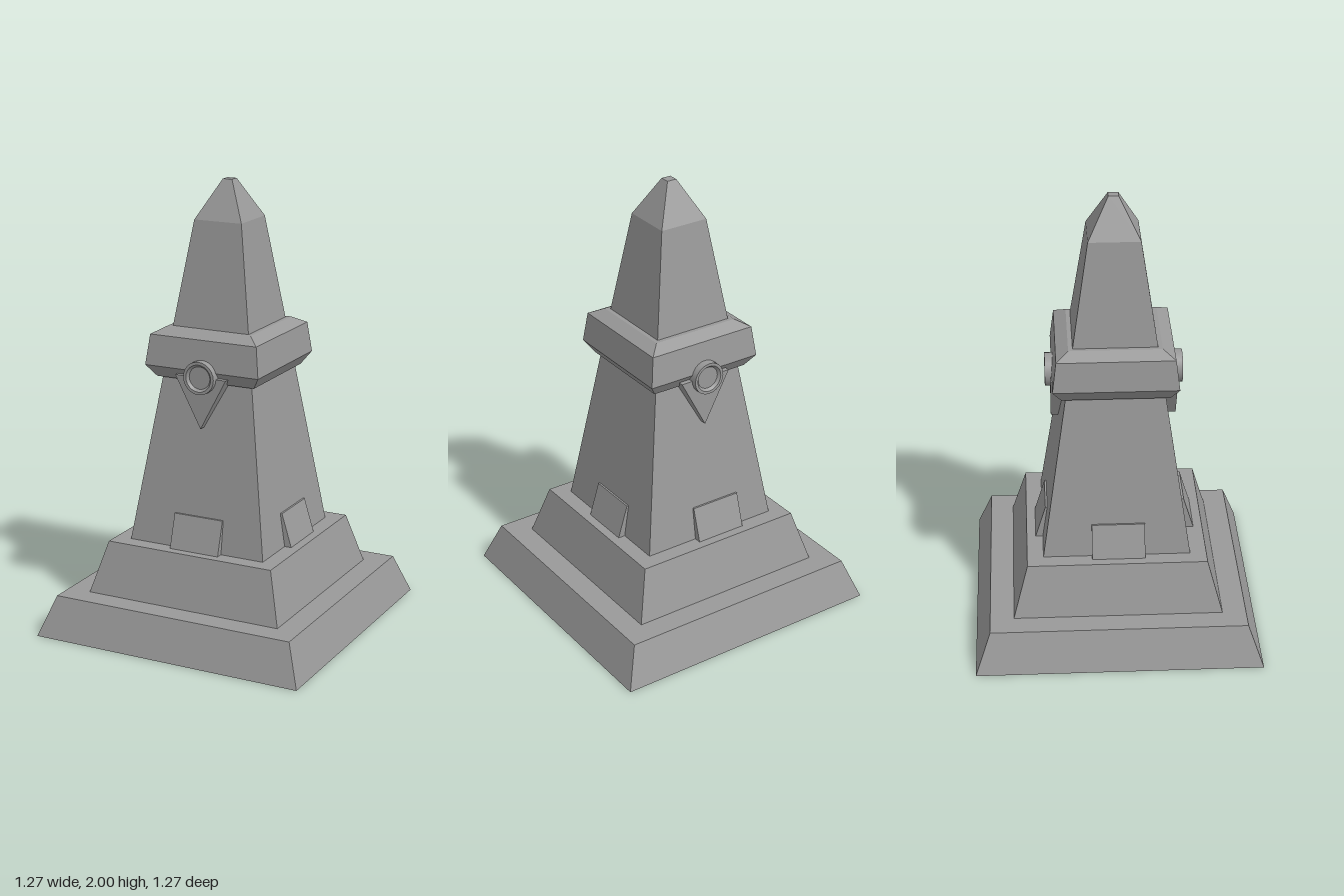
import * as THREE from 'three';
import { toCreasedNormals } from 'three/addons/utils/BufferGeometryUtils.js';

export function createModel() {
  const model = new THREE.Group();
  const stone = new THREE.MeshStandardMaterial({ color: 0x999999 });
  stone.side = THREE.DoubleSide;

  const add = (name, geometry, parent = model) => {
    const mesh = new THREE.Mesh(toCreasedNormals(geometry, 0.5), stone);
    mesh.name = name;
    parent.add(mesh);
    return mesh;
  };

  // Square shell swept through [half width, height] pairs, bottom to top
  const squareShell = (profile) => new THREE.LatheGeometry(
    profile.map(([r, y]) => new THREE.Vector2(r * Math.SQRT2, y)), 4, Math.PI / 4);

  // Stepped base, hollow underneath
  add('lowerPlinth', squareShell([[0.635, 0], [0.568, 0.18], [0.463, 0.18]]));
  add('upperPlinth', squareShell([[0.463, 0.18], [0.398, 0.41], [0.326, 0.41]]));

  // Tapering shaft with pointed, blunt-topped cap
  add('shaft', squareShell([[0.326, 0.41], [0.183, 1.37], [0.113, 1.83]]));
  add('cap', squareShell([[0.113, 1.83], [0.022, 2], [0, 2]]));

  // Bevelled collar around the shaft
  add('collar', squareShell([
    [0.215, 1.15], [0.235, 1.15], [0.273, 1.205], [0.256, 1.34], [0.202, 1.37], [0.183, 1.37],
  ]));

  // Wedge-shaped plaque at the foot of each face: [turn, sideways shift]
  const wedge = new THREE.Shape([[0.29, 0.41], [0.358, 0.41], [0.312, 0.56], [0.27, 0.56]]
    .map(([z, y]) => new THREE.Vector2(z, y)));
  const plaque = new THREE.ExtrudeGeometry(wedge, { depth: 0.235, bevelEnabled: false })
    .translate(0, 0, -0.1175).rotateY(-Math.PI / 2);
  [[0, 0.006], [1, 0.01], [2, 0.037], [3, 0.007]].forEach(([turn, shift]) => {
    const mesh = add('plaque', plaque.clone().translate(shift, 0, 0));
    mesh.rotation.y = turn * Math.PI / 2;
  });

  // Triangular pendant and round boss on the front and back
  const triangle = new THREE.Shape([
    new THREE.Vector2(0, 0.95), new THREE.Vector2(0.122, 1.18), new THREE.Vector2(-0.122, 1.18),
  ]);
  const pendant = new THREE.ExtrudeGeometry(triangle, { depth: 0.078, bevelEnabled: false })
    .translate(0, 0, 0.2);
  const boss = new THREE.LatheGeometry(
    [[0.073, 0.22], [0.073, 0.302], [0.06, 0.302], [0.05, 0.29], [0, 0.29]]
      .map(([r, z]) => new THREE.Vector2(r, z)), 24)
    .rotateX(Math.PI / 2).translate(0.003, 1.182, 0);
  for (const turn of [0, Math.PI]) {
    const emblem = new THREE.Group();
    emblem.name = 'emblem';
    emblem.rotation.y = turn;
    add('pendant', pendant, emblem);
    add('boss', boss, emblem);
    model.add(emblem);
  }

  return model;
}
